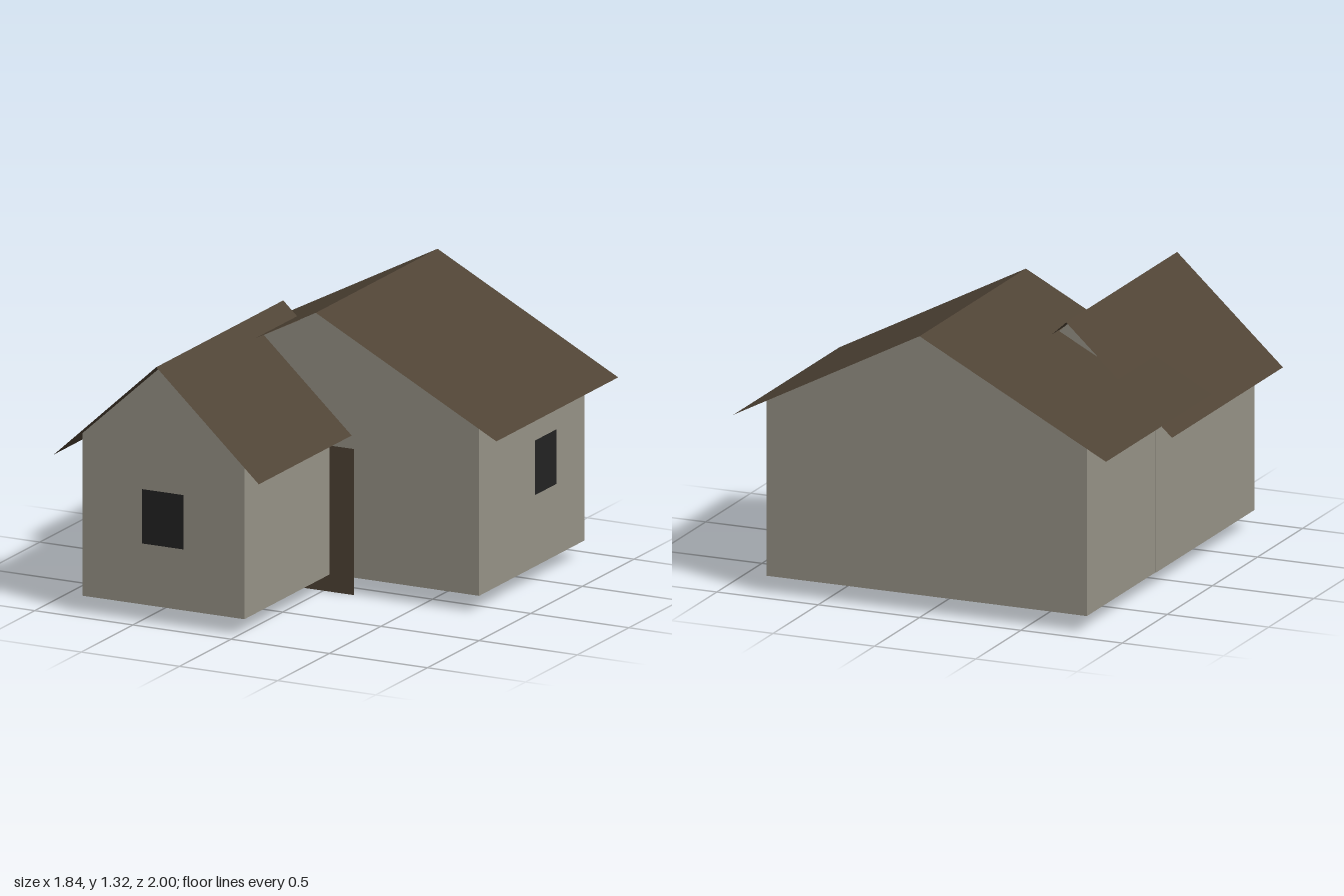
import * as THREE from 'three';

const mat = (name, color) => new THREE.MeshStandardMaterial({ name, color, side: THREE.DoubleSide, flatShading: true });

// Flat vertical or sloping panel from four corners, counter-clockwise seen from outside
function panel(name, material, a, b, c, d) {
  const g = new THREE.BufferGeometry();
  g.setAttribute('position', new THREE.Float32BufferAttribute([...a, ...b, ...c, ...d], 3));
  g.setIndex([0, 1, 2, 0, 2, 3]);
  g.computeVertexNormals();
  const m = new THREE.Mesh(g, material);
  m.name = name;
  return m;
}

// Open-bottomed gabled shell with a thin two-slope roof
function gabledBlock(name, wall, roofMat, { x, half, front, back, base, eave, ridge, roof }) {
  const group = new THREE.Group();
  group.name = name;

  // Gable end walls
  const shape = new THREE.Shape([
    [-half, base], [half, base], [half, eave], [0, ridge], [-half, eave],
  ].map(([px, py]) => new THREE.Vector2(px, py)));
  for (const [end, z, turn] of [['frontWall', front, 0], ['backWall', back, Math.PI]]) {
    const gable = new THREE.Mesh(new THREE.ShapeGeometry(shape), wall);
    gable.name = end;
    gable.position.set(x, 0, z);
    gable.rotation.y = turn;
    group.add(gable);
  }

  // Side walls
  const l = x + half, r = x - half;
  group.add(
    panel('leftWall', wall, [l, base, front], [l, base, back], [l, eave, back], [l, eave, front]),
    panel('rightWall', wall, [r, base, back], [r, base, front], [r, eave, front], [r, eave, back]),
  );

  // Roof slopes, overhanging all round
  const L = x + roof.half, R = x - roof.half, { front: f, back: b, eave: e, ridge: t } = roof;
  group.add(
    panel('leftRoofSlope', roofMat, [L, e, f], [L, e, b], [x, t, b], [x, t, f]),
    panel('rightRoofSlope', roofMat, [R, e, b], [R, e, f], [x, t, f], [x, t, b]),
  );
  return group;
}

export function createModel() {
  const wall = mat('wall plaster', 0x979387);
  const brown = mat('brown wood', 0x4f4335);
  const glass = mat('dark glass', 0x232323);
  const model = new THREE.Group();
  model.name = 'house';

  // Main house and the front wing that cuts into it
  model.add(
    gabledBlock('mainHouse', wall, brown, {
      x: 0, half: 0.79, front: 0.1, back: -0.92, base: 0.08, eave: 0.907, ridge: 1.315,
      roof: { half: 0.92, front: 0.18, back: -1, eave: 0.842, ridge: 1.322 },
    }),
    gabledBlock('frontWing', wall, brown, {
      x: -0.381, half: 0.412, front: 0.93, back: -0.16, base: 0.08, eave: 0.843, ridge: 1.218,
      roof: { half: 0.522, front: 1, back: -0.23, eave: 0.745, ridge: 1.225 },
    }),
  );

  // Front door, half hidden behind the wing
  model.add(panel('door', brown,
    [-0.157, 0, 0.106], [0.157, 0, 0.106], [0.157, 0.685, 0.106], [-0.157, 0.685, 0.106]));

  // Windows
  model.add(
    panel('frontWindow', glass,
      [-0.489, 0.367, 0.934], [-0.278, 0.367, 0.934], [-0.278, 0.622, 0.934], [-0.489, 0.622, 0.934]),
    panel('sideWindow', glass,
      [0.794, 0.417, -0.432], [0.794, 0.417, -0.64], [0.794, 0.673, -0.64], [0.794, 0.673, -0.432]),
  );
  return model;
}
